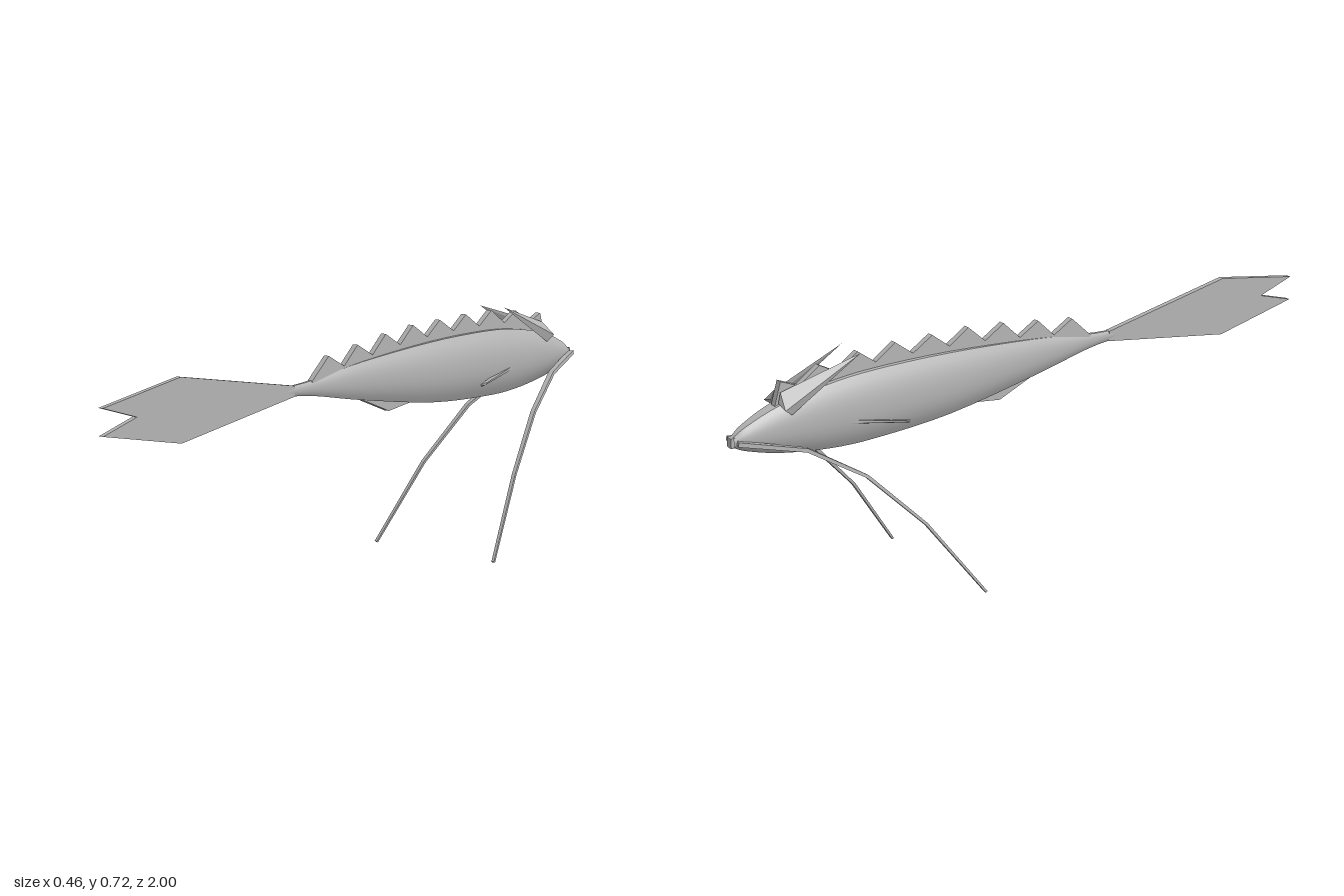
import * as THREE from 'three';
import { mergeGeometries } from 'three/addons/utils/BufferGeometryUtils.js';
import { ConvexGeometry } from 'three/addons/geometries/ConvexGeometry.js';

const V = (x, y, z) => new THREE.Vector3(x, y, z);

// Skin a sheet through rows of points
function loft(rows) {
  const n = rows[0].length, pos = [], idx = [];
  rows.forEach(r => r.forEach(p => pos.push(p.x, p.y, p.z)));
  for (let i = 0; i < rows.length - 1; i++) {
    for (let j = 0; j < n - 1; j++) {
      const a = i * n + j, b = a + 1, c = a + n, d = c + 1;
      idx.push(a, b, c, b, d, c);
    }
  }
  const g = new THREE.BufferGeometry();
  g.setAttribute('position', new THREE.Float32BufferAttribute(pos, 3));
  g.setIndex(idx);
  g.computeVertexNormals();
  return g;
}

// Body with smooth flanks and sharp-edged narrow back and belly
function bodyGeometry() {
  // z, top, bottom, half width
  const stations = [
    [-0.99, 0.558, 0.53, 0.014], [-0.95, 0.582, 0.512, 0.026], [-0.85, 0.618, 0.484, 0.041],
    [-0.7, 0.643, 0.46, 0.049], [-0.55, 0.65, 0.453, 0.052], [-0.3, 0.64, 0.461, 0.046],
    [0, 0.61, 0.5, 0.027], [0.2, 0.578, 0.533, 0.012], [0.31, 0.568, 0.542, 0.008],
  ];
  const heights = new THREE.CatmullRomCurve3(stations.map(s => V(s[0], s[1], s[2])), false, 'catmullrom');
  const widths = new THREE.CatmullRomCurve3(stations.map(s => V(s[0], s[3], 0)), false, 'catmullrom');
  const strips = [[], [], [], []];
  const addRing = (z, top, bottom, w) => {
    const flank = side => Array.from({ length: 11 }, (_, k) => {
      const v = k / 5 - 1;
      const mid = (top + bottom) / 2, half = (top - bottom) / 2;
      return V(side * w * (1 - 0.56 * Math.pow(Math.abs(v), 2.3)), mid + half * v, z);
    });
    const L = flank(1), R = flank(-1);
    strips[0].push(L);
    strips[1].push([L[10], R[10]]);
    strips[2].push(R.slice().reverse());
    strips[3].push([R[0], L[0]]);
  };
  const N = 32;
  for (let i = 0; i <= N; i++) {
    const h = heights.getPoint(i / N), w = widths.getPoint(i / N);
    addRing(h.x, h.y, h.z, w.y);
  }
  return mergeGeometries(strips.map(loft));
}

// Flat plate standing in the middle plane, outlined in (z, y)
function plate(points, thickness) {
  const shape = new THREE.Shape(points.map(p => new THREE.Vector2(p[0], p[1])));
  const g = new THREE.ExtrudeGeometry(shape, { depth: thickness, bevelEnabled: false });
  g.translate(0, 0, -thickness / 2);
  g.rotateY(-Math.PI / 2);
  return g;
}

// Four-sided tapering whisker
function whiskerGeometry(s) {
  const path = [
    [0.022, 0.545, -0.985], [0.078, 0.502, -0.81], [0.126, 0.402, -0.655],
    [0.175, 0.237, -0.5], [0.226, 0.004, -0.337],
  ].map(p => V(s * p[0], p[1], p[2]));
  const rings = path.map((p, i) => {
    const t = path[Math.min(i + 1, 4)].clone().sub(path[Math.max(i - 1, 0)]).normalize();
    const side = V(1, 0, 0).addScaledVector(t, -t.x).normalize();
    const up = t.clone().cross(side);
    const r = 0.0095 - 0.0012 * i;
    return [[1, 1], [-1, 1], [-1, -1], [1, -1], [1, 1]].map(([a, b]) =>
      p.clone().addScaledVector(side, a * r).addScaledVector(up, b * r * 0.65));
  });
  const cap = (ring, c) => ring.map(() => c.clone());
  const g = loft([cap(rings[0], path[0]), ...rings, cap(rings[4], path[4])]).toNonIndexed();
  g.computeVertexNormals();
  return g;
}

export function createModel() {
  const group = new THREE.Group();
  const grey = new THREE.MeshStandardMaterial({ color: 0xb4b4b4, side: THREE.DoubleSide });
  const add = (name, geometry) => {
    const mesh = new THREE.Mesh(geometry, grey);
    mesh.name = name;
    group.add(mesh);
  };

  add('body', bodyGeometry());

  // Blunt snout tip
  const snout = new THREE.BoxGeometry(0.02, 0.028, 0.02);
  snout.translate(0, 0.544, -0.988);
  add('snout', snout);

  // Saw-toothed crest along the back
  const crest = [[0.21, 0.575]];
  const peaks = [0.64, 0.66, 0.68, 0.695, 0.7, 0.706, 0.708, 0.697, 0.68];
  const valleys = [0.605, 0.625, 0.643, 0.655, 0.662, 0.665, 0.665, 0.655];
  peaks.forEach((y, i) => {
    const z = 0.14 - i * 0.1225;
    crest.push([z, y]);
    if (i < 8) crest.push([z - 0.065, valleys[i]]);
  });
  crest.push([-0.865, 0.6], [-0.55, 0.62], [0, 0.58], [0.2, 0.56]);
  add('backCrest', plate(crest, 0.018));

  // Forked tail
  add('tailFin', plate([
    [0.28, 0.57], [0.72, 0.64], [1, 0.588], [0.88, 0.552], [1, 0.515], [0.72, 0.463], [0.28, 0.54],
  ], 0.016));

  // Fin under the belly
  add('bellyFin', plate([
    [0.02, 0.515], [-0.01, 0.497], [-0.12, 0.455], [-0.23, 0.472], [-0.2, 0.53],
  ], 0.018));

  for (const s of [1, -1]) {
    const side = s > 0 ? 'left' : 'right';

    // Swept-back horn
    add(side + 'Horn', new ConvexGeometry([
      V(s * 0.046, 0.718, -0.61), V(s * 0.014, 0.652, -0.845), V(s * 0.053, 0.614, -0.855),
      V(s * 0.044, 0.594, -0.83), V(s * 0.018, 0.625, -0.855),
    ]));

    // Slim side fin
    add(side + 'SideFin', new ConvexGeometry([
      V(s * 0.042, 0.543, -0.685), V(s * 0.042, 0.533, -0.685), V(s * 0.042, 0.515, -0.56),
      V(s * 0.042, 0.507, -0.56), V(s * 0.08, 0.506, -0.49), V(s * 0.08, 0.499, -0.48),
      V(s * 0.068, 0.5, -0.47), V(s * 0.068, 0.493, -0.475),
    ]));

    add(side + 'Whisker', whiskerGeometry(s));
  }
  return group;
}
